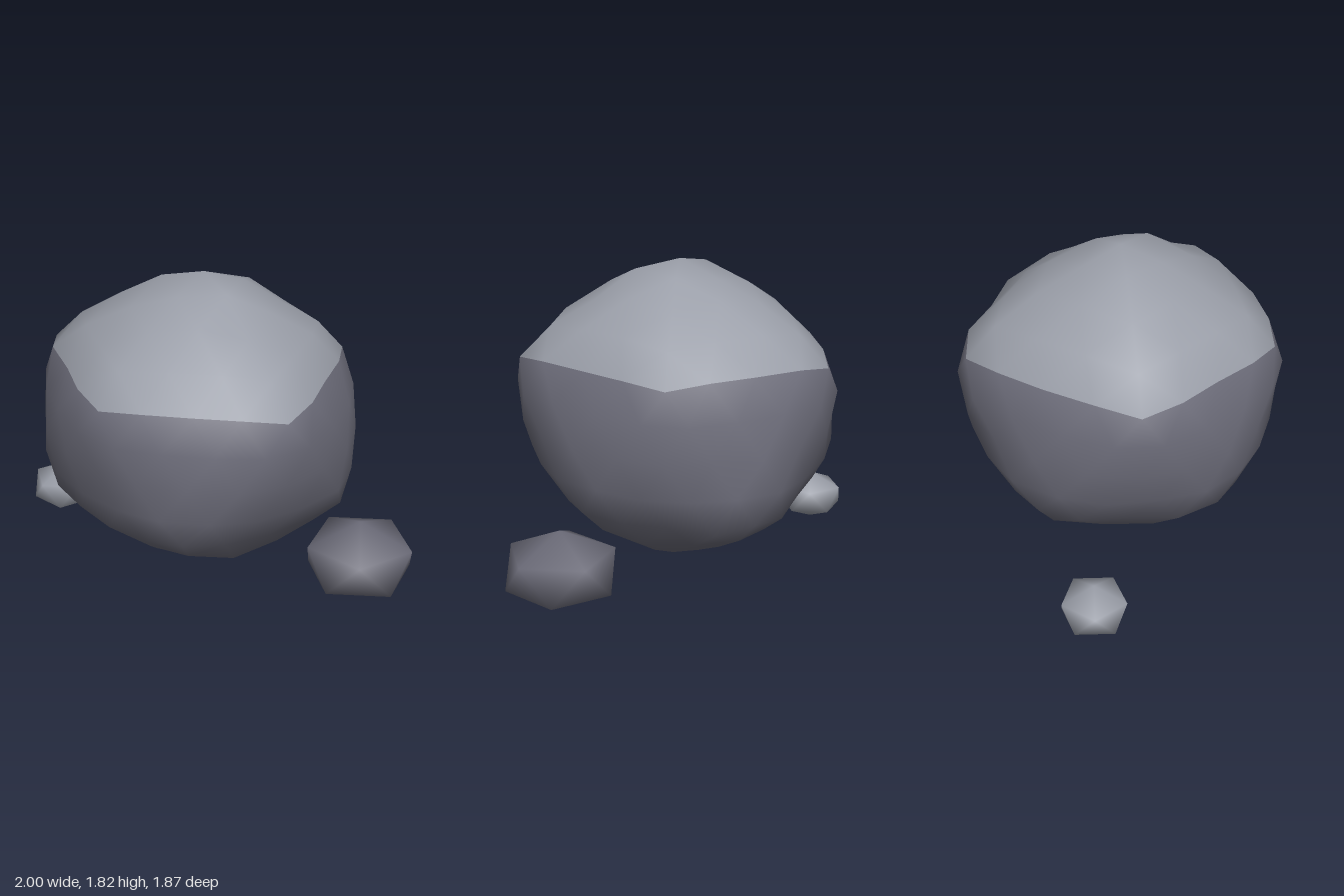
import * as THREE from 'three';
import { mergeVertices } from 'three/addons/utils/BufferGeometryUtils.js';

const DARK = new THREE.MeshStandardMaterial({ color: 0x6b6b78 });
const LIGHT = new THREE.MeshStandardMaterial({ color: 0x9a9ea8 });
const V = (x, y, z) => new THREE.Vector3(x, y, z);

// Faces of an upright icosahedron: 0 top, 1-5 upper ring, 6-10 lower ring, 11 bottom
function rockFaces() {
  const cap = [], body = [];
  for (let i = 0; i < 5; i++) {
    const j = (i + 1) % 5;
    const u = 1 + i, un = 1 + j, l = 6 + i, ln = 6 + j;
    cap.push([0, un, u]);
    body.push([u, un, l], [un, ln, l], [l, ln, 11]);
  }
  return [...cap, ...body];
}

// Split every face into n*n triangles, bulging the points between corners outward
function rockGeometry(corners, n, edgeBulge, innerBulge, rough) {
  const out = [];
  const point = (f, a, b) => {
    const c = n - a - b;
    const p = V(0, 0, 0);
    [a, b, c].forEach((w, k) => p.addScaledVector(corners[f[k]], w / n));
    const used = [a, b, c].filter((w) => w > 0).length;
    if (used === 1) return p;
    const bump = rough * Math.sin(p.x * 9 + 1) * Math.sin(p.y * 8 + 2) * Math.sin(p.z * 9 + 0.5);
    return p.addScaledVector(p.clone().normalize(), (used === 2 ? edgeBulge : innerBulge) + bump);
  };
  for (const f of rockFaces()) {
    for (let a = 0; a < n; a++) {
      for (let b = 0; b < n - a; b++) {
        out.push(point(f, a + 1, b), point(f, a, b + 1), point(f, a, b));
        if (a + b < n - 1) out.push(point(f, a + 1, b), point(f, a + 1, b + 1), point(f, a, b + 1));
      }
    }
  }
  const g = mergeVertices(new THREE.BufferGeometry().setFromPoints(out), 1e-3);
  g.computeVertexNormals();
  return g;
}

// Part of an indexed geometry that keeps the shared smooth normals
function slice(g, from, to) {
  const part = new THREE.BufferGeometry();
  part.setAttribute('position', g.attributes.position);
  part.setAttribute('normal', g.attributes.normal);
  part.setIndex(Array.from(g.index.array.slice(from, to)));
  return part.toNonIndexed();
}

function addMesh(group, name, geometry, material) {
  const mesh = new THREE.Mesh(geometry, material);
  mesh.name = name;
  group.add(mesh);
  return mesh;
}

// Corners of a regular upright pebble
function pebbleCorners(rx, ry) {
  const pts = [V(0, ry, 0)];
  for (const s of [1, -1]) {
    for (let i = 0; i < 5; i++) {
      const t = ((i + (s < 0 ? 0.5 : 0)) * Math.PI * 2) / 5;
      pts.push(V(Math.cos(t) * rx * 0.894, s * ry * 0.447, Math.sin(t) * rx * 0.894));
    }
  }
  pts.push(V(0, -ry, 0));
  return pts;
}

export function createModel() {
  const model = new THREE.Group();
  model.name = 'rocks';

  // Large boulder with a paler top
  const boulder = new THREE.Group();
  boulder.name = 'boulder';
  boulder.position.set(-0.08, 0.95, 0);
  const corners = [
    V(0, 0.87, 0),
    V(0.81, 0.33, 0), V(0.25, 0.34, 0.88), V(-0.69, 0.35, 0.53), V(-0.77, 0.36, -0.47), V(0.28, 0.33, -0.85),
    V(0.68, -0.42, 0.47), V(-0.3, -0.38, 0.8), V(-0.86, -0.37, 0), V(-0.29, -0.39, -0.8), V(0.75, -0.43, -0.48),
    V(0, -0.865, 0),
  ];
  const n = 4;
  const g = rockGeometry(corners, n, 0.068, 0.115, 0.03);
  const split = 5 * n * n * 3;
  addMesh(boulder, 'boulderTop', slice(g, 0, split), LIGHT);
  addMesh(boulder, 'boulderBody', slice(g, split, g.index.count), DARK);
  model.add(boulder);

  // Two small stones beside it
  const stone = addMesh(model, 'frontStone', rockGeometry(pebbleCorners(0.345, 0.23), 1, 0, 0, 0), DARK);
  stone.position.set(0.69, 0.23, 0.585);
  stone.rotation.y = Math.PI;
  const pebble = addMesh(model, 'backPebble', rockGeometry(pebbleCorners(0.21, 0.147), 1, 0, 0, 0), LIGHT);
  pebble.position.set(-0.812, 0.153, -0.76);

  return model;
}
